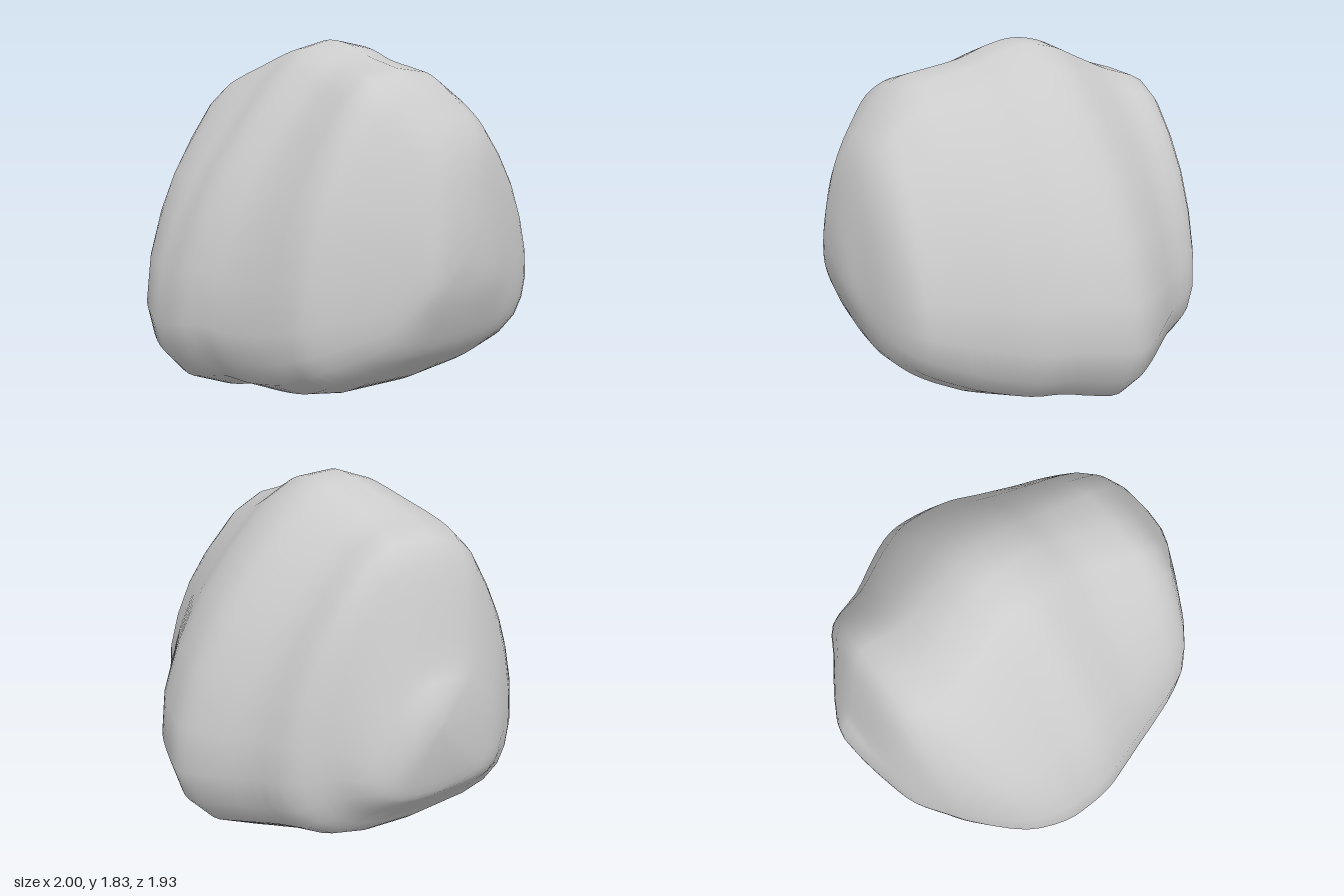
import * as THREE from 'three';
import { mergeVertices } from 'three/addons/utils/BufferGeometryUtils.js';

// Rounded-triangle section [z, y]: apex first, down the back, along the base, up the front
const section = [
  [0.03, 1.83], [-0.13, 1.81], [-0.3, 1.71], [-0.5, 1.5], [-0.68, 1.27], [-0.83, 1.0],
  [-0.93, 0.73], [-0.96, 0.5], [-0.91, 0.32], [-0.79, 0.18], [-0.58, 0.08], [-0.3, 0.02],
  [0, 0], [0.35, 0.03], [0.62, 0.08], [0.82, 0.17], [0.92, 0.29], [0.96, 0.46],
  [0.92, 0.72], [0.82, 0.98], [0.7, 1.2], [0.53, 1.43], [0.35, 1.65], [0.2, 1.78],
].map(([z, y]) => [z / 0.96, y / 1.83]);

// Stations along x: [x, top, bottom, front, back]
const stations = [
  [-1, 0.82, 0.82, -0.07, -0.07], [-0.985, 0.91, 0.66, 0.06, -0.18],
  [-0.95, 1.0, 0.49, 0.22, -0.28], [-0.9, 1.1, 0.42, 0.38, -0.38],
  [-0.8, 1.43, 0.31, 0.53, -0.5], [-0.7, 1.6, 0.2, 0.66, -0.66],
  [-0.5, 1.67, 0.12, 0.855, -0.76], [-0.3, 1.75, 0.05, 0.945, -0.9],
  [-0.15, 1.81, 0, 0.96, -0.97], [0, 1.83, 0.03, 0.955, -0.96],
  [0.15, 1.8, 0.075, 0.915, -0.925], [0.3, 1.74, 0.085, 0.87, -0.86],
  [0.5, 1.69, 0.135, 0.81, -0.75], [0.6, 1.66, 0.18, 0.775, -0.7],
  [0.7, 1.59, 0.24, 0.72, -0.66], [0.8, 1.48, 0.32, 0.58, -0.61],
  [0.88, 1.37, 0.4, 0.44, -0.48], [0.94, 1.22, 0.53, 0.33, -0.29],
  [0.985, 1.0, 0.68, 0.24, -0.13], [1, 0.83, 0.83, 0.08, 0.08],
];

// Lofts the section through the smoothed stations
function loftStone() {
  const spline = (a, b) => new THREE.CatmullRomCurve3(
    stations.map((s) => new THREE.Vector3(s[0], s[a], s[b])), false, 'catmullrom', 0.5);
  const heights = spline(1, 2);
  const depths = spline(3, 4);
  const rings = (stations.length - 1) * 3;
  const n = section.length;
  const positions = [];
  const index = [];
  for (let i = 0; i <= rings; i++) {
    const { x, y: top, z: bottom } = heights.getPoint(i / rings);
    const { y: front, z: back } = depths.getPoint(i / rings);
    // Away from the middle the sides bulge, the front more than the back
    const bulge = THREE.MathUtils.smoothstep(Math.abs(x), 0.1, 0.8);
    section.forEach(([z, y], j) => {
      const power = 1 - bulge * (z > 0 ? 0.38 : 0.2);
      const w = Math.sign(z) * Math.abs(z) ** power;
      positions.push(
        THREE.MathUtils.clamp(x, -1, 1),
        bottom + y * (top - bottom),
        (front + back) / 2 + w * (front - back) / 2);
      if (i === rings) return;
      const a = i * n + j;
      const b = i * n + ((j + 1) % n);
      index.push(a, a + n, b, b, a + n, b + n);
    });
  }
  const geometry = new THREE.BufferGeometry();
  geometry.setAttribute('position', new THREE.Float32BufferAttribute(positions, 3));
  geometry.setIndex(index);
  const merged = mergeVertices(geometry, 1e-4); // closes the end poles
  merged.computeVertexNormals();
  return merged;
}

export function createModel() {
  const group = new THREE.Group();
  const stone = new THREE.Mesh(loftStone(), new THREE.MeshStandardMaterial({ color: 0xcccccc }));
  stone.name = 'stone';
  group.add(stone);
  return group;
}
